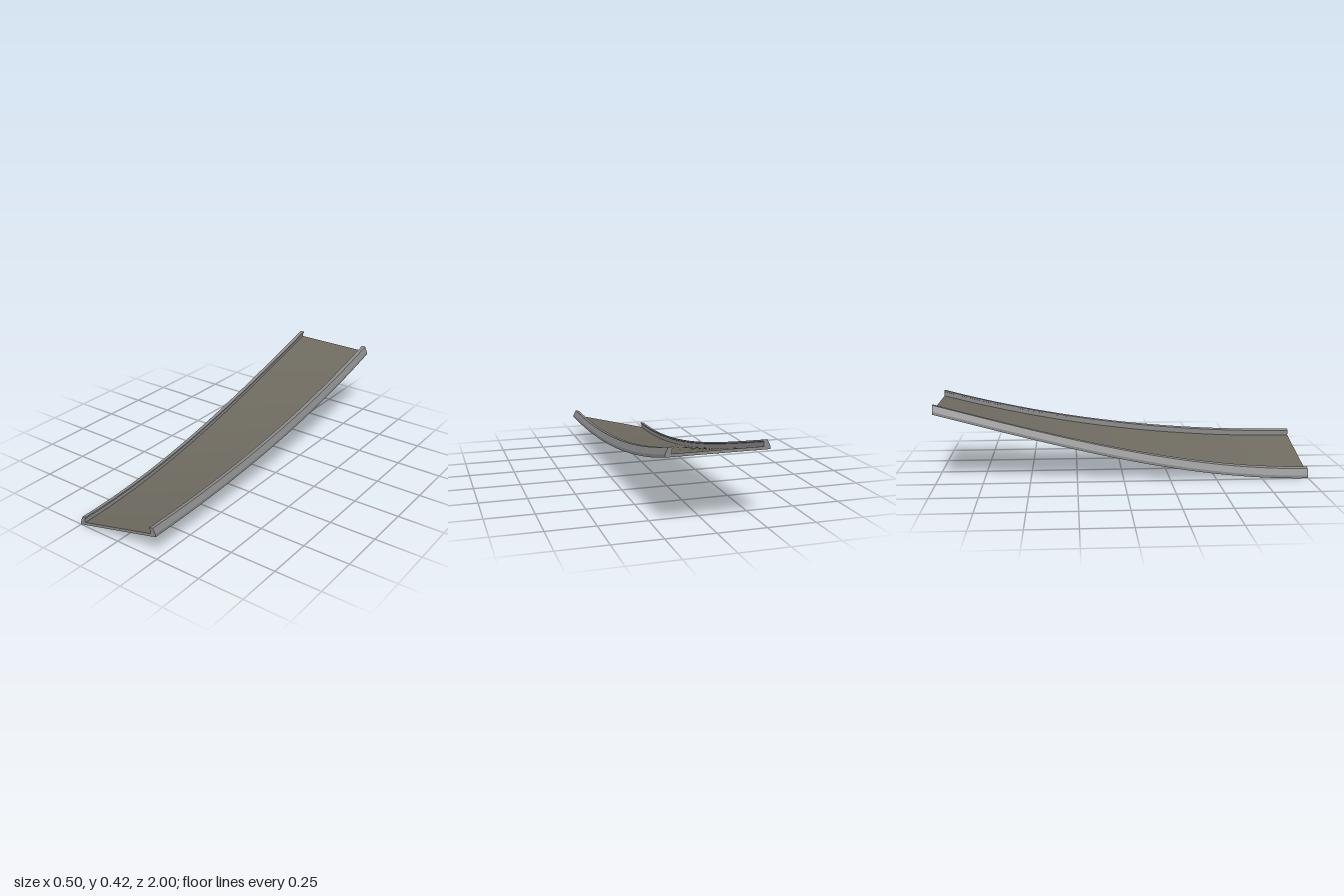
import * as THREE from 'three';

const STEPS = 48;

// Right-hand curb outline: x, height above the underside
const curb = [[0.25, 0], [0.25, 0.015], [0.235, 0.047], [0.212, 0.047], [0.212, 0.039], [0.219, 0.037], [0.219, 0.015]];
// Whole section, counter-clockwise seen from the front
const section = [...curb, ...curb.map(([x, h]) => [-x, h]).reverse()];
const FLOOR_EDGE = curb.length - 1;
const UNDER_EDGE = section.length - 1;

// Places a section point at t = 0 (front, banked) to t = 1 (back, level and raised)
function place([x, h], t) {
  const rise = t * t * (1 + 0.25 * (1 - t));
  const bank = 0.25 * (1 - t * t * (3 - 2 * t));
  return [x, 0.0625 + 0.3145 * rise + bank * x + h, 1 - 2 * t];
}

// Sweeps chosen section edges along the ramp, each edge keeping its own crisp strip
function sweep(edges, capped) {
  const pos = [], index = [];
  for (const e of edges) {
    const a = section[e], b = section[(e + 1) % section.length];
    const cols = Math.abs(a[0] - b[0]) > 0.1 ? 6 : 1;
    const base = pos.length / 3;
    for (let i = 0; i <= STEPS; i++) {
      for (let j = 0; j <= cols; j++) {
        const k = j / cols;
        pos.push(...place([a[0] + (b[0] - a[0]) * k, a[1] + (b[1] - a[1]) * k], i / STEPS));
      }
    }
    for (let i = 0; i < STEPS; i++) {
      for (let j = 0; j < cols; j++) {
        const p = base + i * (cols + 1) + j, q = p + cols + 1;
        index.push(p, q, p + 1, p + 1, q, q + 1);
      }
    }
  }
  if (capped) {
    // End faces
    const faces = THREE.ShapeUtils.triangulateShape(section.map(([x, h]) => new THREE.Vector2(x, h)), []);
    for (const t of [0, 1]) {
      const base = pos.length / 3;
      section.forEach((p) => pos.push(...place(p, t)));
      for (const [a, b, c] of faces) {
        index.push(base + a, base + (t ? c : b), base + (t ? b : c));
      }
    }
  }
  const geometry = new THREE.BufferGeometry();
  geometry.setAttribute('position', new THREE.Float32BufferAttribute(pos, 3));
  geometry.setIndex(index);
  geometry.computeVertexNormals();
  return geometry;
}

export function createModel() {
  const concrete = new THREE.MeshStandardMaterial({ name: 'curb grey', color: 0x8a8a8a });
  const asphalt = new THREE.MeshStandardMaterial({ name: 'road brown grey', color: 0x6e6a60 });
  const group = new THREE.Group();
  group.name = 'bankedRamp';

  const add = (name, geometry, material) => {
    const mesh = new THREE.Mesh(geometry, material);
    mesh.name = name;
    group.add(mesh);
  };

  // Curbs, underside and end faces
  const shell = section.map((_, i) => i).filter((i) => i !== FLOOR_EDGE && i !== UNDER_EDGE);
  add('curbsAndEnds', sweep(shell, true), concrete);
  add('underside', sweep([UNDER_EDGE], false), concrete);
  // Driving surface between the curbs
  add('roadSurface', sweep([FLOOR_EDGE], false), asphalt);

  return group;
}
